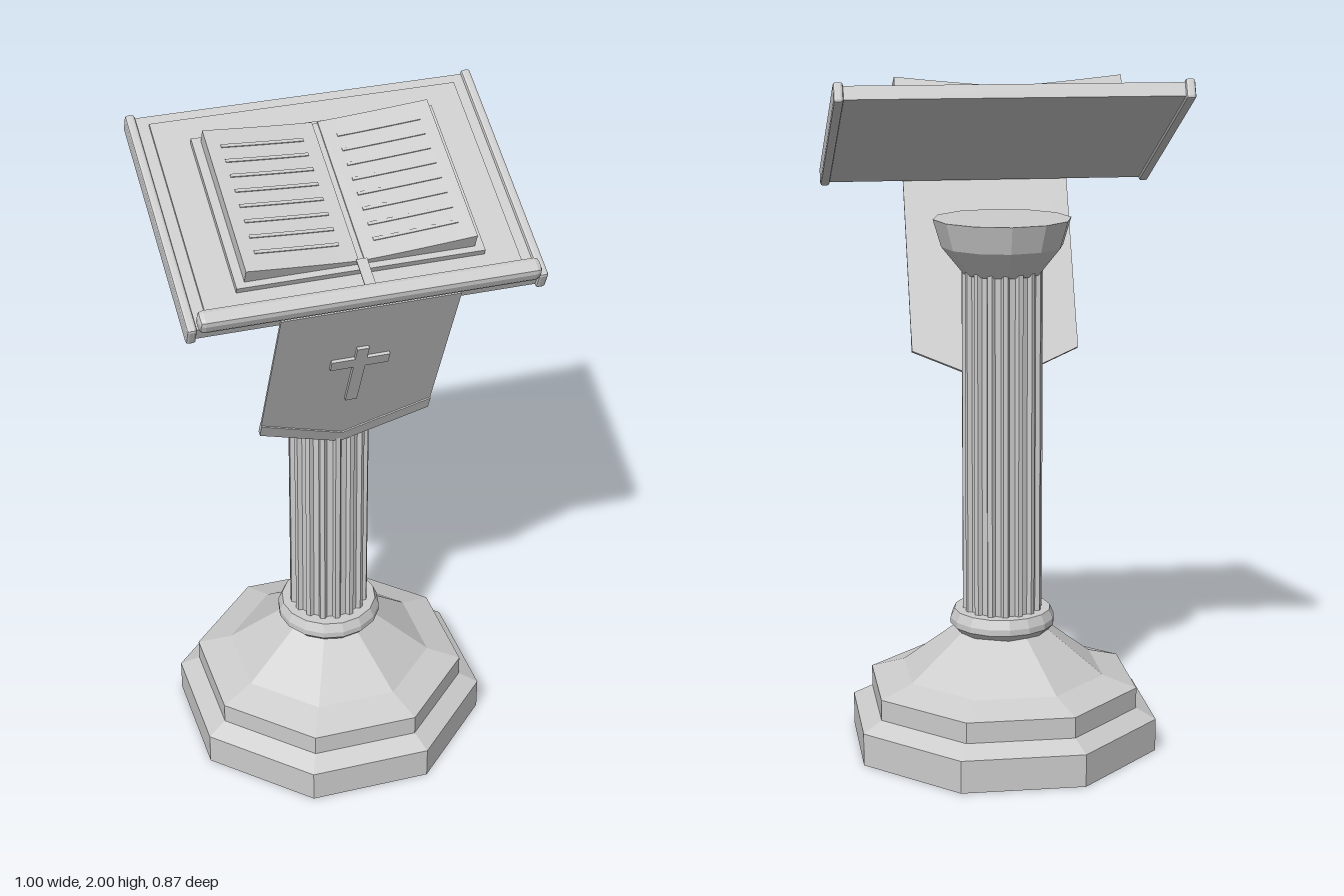
import * as THREE from 'three';
import { RoundedBoxGeometry } from 'three/addons/geometries/RoundedBoxGeometry.js';

const stone = new THREE.MeshStandardMaterial({ color: 0xcccccc });
stone.name = 'pale stone';

// Adds a faceted mesh to a parent
function add(parent, name, geometry, x = 0, y = 0, z = 0) {
  const g = geometry.index ? geometry.toNonIndexed() : geometry;
  g.computeVertexNormals();
  const mesh = new THREE.Mesh(g, stone);
  mesh.name = name;
  mesh.position.set(x, y, z);
  parent.add(mesh);
  return mesh;
}

const box = (w, h, d) => new THREE.BoxGeometry(w, h, d);
const vec = ([x, y]) => new THREE.Vector2(x, y);
const lathe = (points, sides, start = 0) =>
  new THREE.LatheGeometry(points.map(vec), sides, start);
const plate = (points, depth) =>
  new THREE.ExtrudeGeometry(new THREE.Shape(points.map(vec)), { depth, bevelEnabled: false });

// Height of the open page, rising from the gutter to the outer edge
const pageHeight = (x) => 0.062 + 0.031 * Math.pow(x / 0.32, 1.2);

// Slab between a lower and an upper curve, following the page
function pageSlab(side, x0, x1, lower, upper, depth) {
  const n = 6, top = [], bottom = [];
  for (let i = 0; i <= n; i++) {
    const x = x0 + (x1 - x0) * i / n;
    top.push([side * x, upper(x)]);
    bottom.unshift([side * x, lower(x)]);
  }
  return plate([...top, ...bottom], depth);
}

function buildPedestal(root) {
  const pedestal = new THREE.Group();
  pedestal.name = 'pedestal';
  root.add(pedestal);

  // Octagonal stepped base: distances are to the flats
  const k = 1 / Math.cos(Math.PI / 8);
  const base = [[0, 0], [0.435, 0], [0.435, 0.097], [0.38, 0.128], [0.38, 0.19],
    [0.285, 0.222], [0.215, 0.28], [0.13, 0.35], [0, 0.35]];
  add(pedestal, 'base', lathe(base.map(([r, y]) => [r * k, y]), 8, Math.PI / 8));

  // Moulded ring
  add(pedestal, 'collar', lathe([[0, 0.345], [0.135, 0.345], [0.156, 0.367],
    [0.156, 0.385], [0.144, 0.412], [0, 0.412]], 16));

  // Fluted shaft
  const flutes = 16, ring = [];
  for (let i = 0; i < flutes; i++) {
    [[0, 0.118], [0.3, 0.118], [0.45, 0.106], [0.85, 0.106]].forEach(([t, r]) => {
      const a = (i + t) / flutes * Math.PI * 2;
      ring.push([r * Math.cos(a), r * Math.sin(a)]);
    });
  }
  add(pedestal, 'flutedShaft', plate(ring, 1.03), 0, 1.43, 0).rotation.x = Math.PI / 2;

  // Flared capital
  add(pedestal, 'capital', lathe([[0, 1.42], [0.113, 1.42], [0.178, 1.5],
    [0.202, 1.58], [0, 1.58]], 12));
}

function buildBook(desk) {
  const book = new THREE.Group();
  book.name = 'openBook';
  desk.add(book);
  add(book, 'cover', box(0.69, 0.018, 0.503), 0, 0.038, 0.0135);
  for (const side of [1, -1]) {
    add(book, 'pages', pageSlab(side, 0.008, 0.32, () => 0.045, pageHeight, 0.472), 0, 0, -0.225);
    // Raised lines on the page
    for (let i = 0; i < 8; i++) {
      add(book, 'pageLine', pageSlab(side, 0.048, 0.282, (x) => pageHeight(x) - 0.002,
        (x) => pageHeight(x) + 0.003, 0.01), 0, 0, -0.172 + i * 0.0507);
    }
  }
  add(book, 'gutter', box(0.018, 0.012, 0.468), 0, 0.051, 0.011);
  add(book, 'ribbon', box(0.03, 0.004, 0.09), 0, 0.064, 0.288);
}

function buildBanner(desk) {
  const banner = new THREE.Group();
  banner.name = 'banner';
  banner.position.z = 0.362;
  desk.add(banner);
  const w = 0.25;
  add(banner, 'cloth', plate([[-w, 0.02], [-w, -0.545], [0, -0.655], [w, -0.545], [w, 0.02]], 0.008));
  // Thicker pointed hem
  add(banner, 'hem', plate([[-w, -0.5], [-w, -0.547], [0, -0.657], [w, -0.547],
    [w, -0.5], [0, -0.61]], 0.015), 0, 0, -0.003);
  // Raised cross
  const b = 0.017, a = 0.083;
  add(banner, 'cross', plate([[-b, -0.166], [-b, -0.213], [-a, -0.213], [-a, -0.252],
    [-b, -0.252], [-b, -0.423], [b, -0.423], [b, -0.252], [a, -0.252], [a, -0.213],
    [b, -0.213], [b, -0.166]], 0.012), 0, 0, 0.005);
}

export function createModel() {
  const root = new THREE.Group();
  root.name = 'lectern';
  buildPedestal(root);

  // Sloping desk
  const desk = new THREE.Group();
  desk.name = 'desk';
  desk.position.set(0, 1.816, 0.049);
  desk.rotation.x = THREE.MathUtils.degToRad(25);
  root.add(desk);
  add(desk, 'board', box(0.96, 0.04, 0.706));
  add(desk, 'raisedPanel', box(0.88, 0.012, 0.635), 0, 0.023, -0.003);
  for (const side of [1, -1]) {
    add(desk, 'sideRail', new RoundedBoxGeometry(0.028, 0.06, 0.724, 1, 0.008), side * 0.486, 0, 0);
  }
  add(desk, 'frontLip', new RoundedBoxGeometry(0.944, 0.052, 0.052, 1, 0.016), 0, 0.05, 0.35);

  buildBook(desk);
  buildBanner(desk);
  return root;
}
